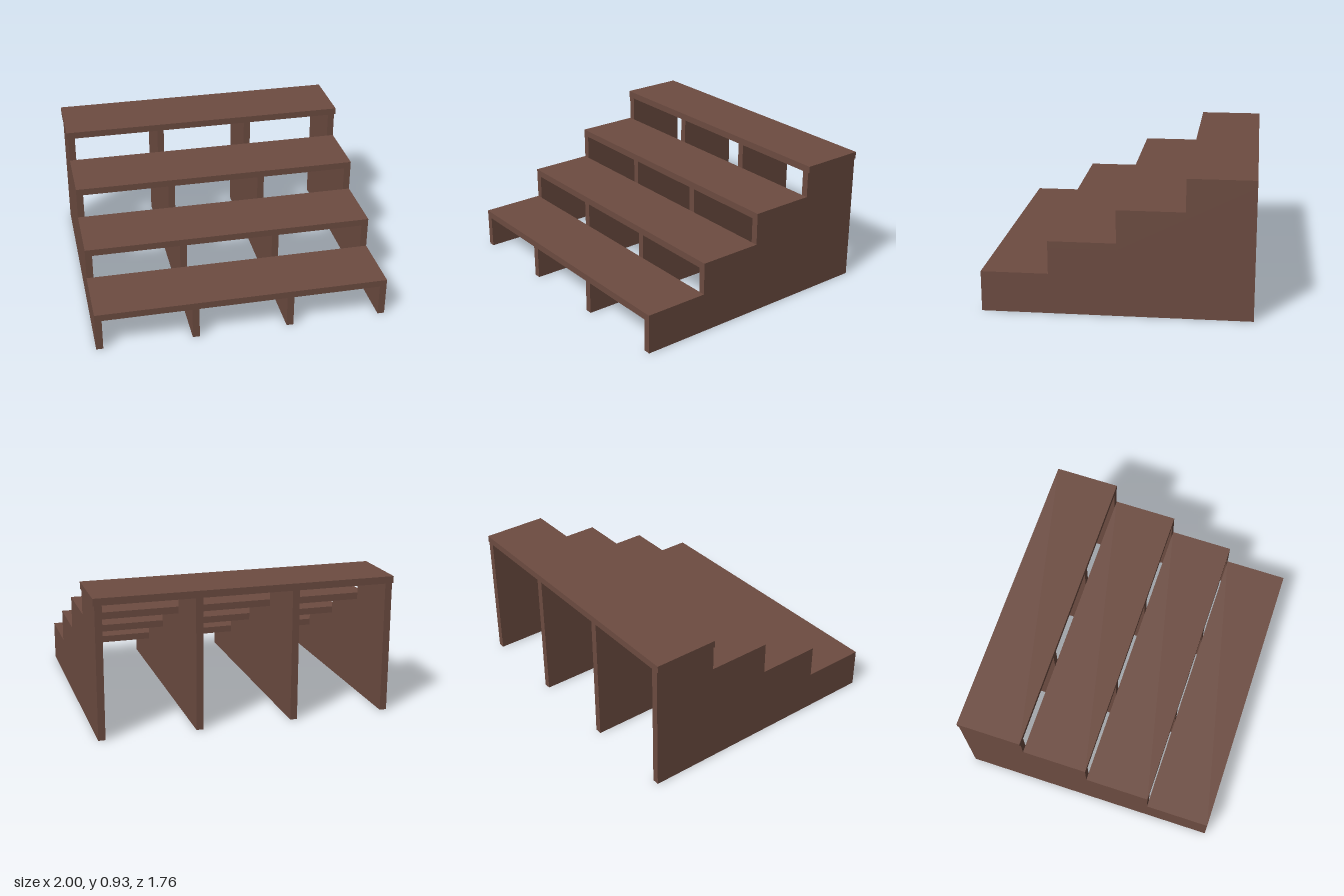
import * as THREE from 'three';

const STEPS = 4, RUN = 0.44, RISE = 0.22, FIRST = 0.27, THICK = 0.047;
const FRONT = 0.88, BACK = -0.88, HALF_WIDTH = 0.99;

export function createModel() {
  const group = new THREE.Group();
  group.name = 'steppedStand';
  const wood = new THREE.MeshStandardMaterial({ color: 0x6d4c41 });
  wood.name = 'brown wood';

  // Stepped side profile, drawn with shape x = -z, cut to sit under the treads
  const profile = new THREE.Shape();
  profile.moveTo(-FRONT, 0);
  for (let i = 0; i < STEPS; i++) {
    const top = FIRST + i * RISE - THICK;
    profile.lineTo(-FRONT + i * RUN, top);
    profile.lineTo(-FRONT + (i + 1) * RUN, top);
  }
  profile.lineTo(-BACK, 0);
  profile.closePath();

  // Four upright panels: two outer, two inner
  const panelGeometry = new THREE.ExtrudeGeometry(profile, { depth: THICK, bevelEnabled: false });
  panelGeometry.translate(0, 0, -THICK / 2);
  panelGeometry.rotateY(Math.PI / 2);
  const edge = HALF_WIDTH - THICK / 2;
  [-edge, -edge / 3, edge / 3, edge].forEach((x, i) => {
    const panel = new THREE.Mesh(panelGeometry, wood);
    panel.name = `supportPanel${i + 1}`;
    panel.position.x = x;
    group.add(panel);
  });

  // Treads, the top one slightly wider than the panels
  for (let i = 0; i < STEPS; i++) {
    const width = i === STEPS - 1 ? 2 : 2 * HALF_WIDTH;
    const tread = new THREE.Mesh(new THREE.BoxGeometry(width, THICK, RUN), wood);
    tread.name = i === STEPS - 1 ? 'topTread' : `tread${i + 1}`;
    tread.position.set(0, FIRST + i * RISE - THICK / 2, FRONT - (i + 0.5) * RUN);
    group.add(tread);
  }
  return group;
}
